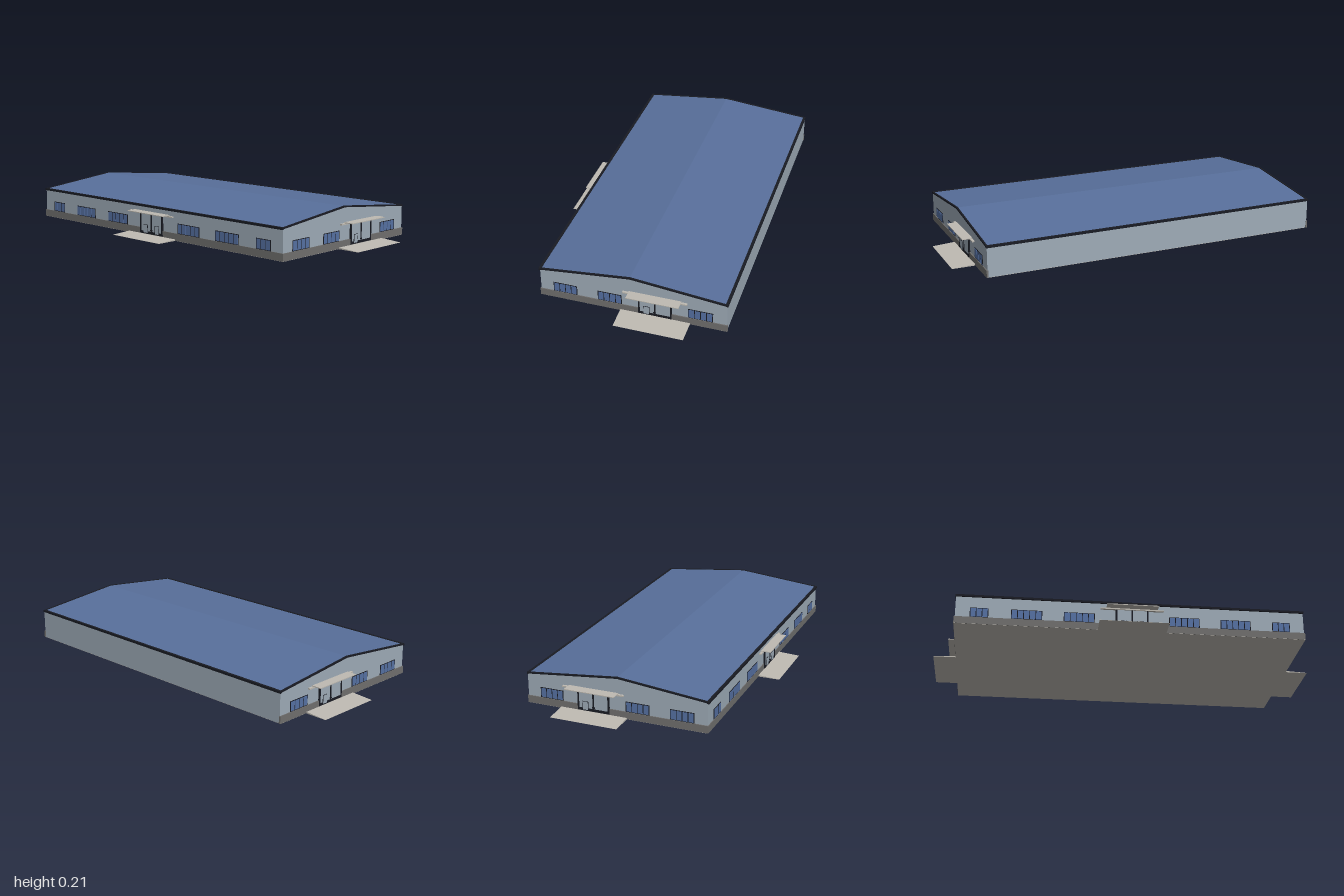
import * as THREE from 'three';

const mat = (name, color) => {
  const m = new THREE.MeshStandardMaterial({ color });
  m.name = name;
  return m;
};

export function createModel() {
  const wallGrey = mat('wall grey', 0x9eabb7);
  const plinthGrey = mat('plinth grey', 0x706f6e);
  const roofBlue = mat('roof blue', 0x586f9b);
  const glassBlue = mat('glass blue', 0x5671a3);
  const trimDark = mat('dark trim', 0x191b23);
  const concrete = mat('concrete', 0xbebab2);

  const model = new THREE.Group();
  model.name = 'hall';

  const WALL_X = 0.88, FRONT = 0.41, BACK = -0.522, RIDGE = -0.045;

  const add = (parent, name, geometry, material) => {
    const mesh = new THREE.Mesh(geometry, material);
    mesh.name = name;
    parent.add(mesh);
    return mesh;
  };

  // box given by its lower and upper limits on each axis
  const box = (parent, name, material, [x0, x1], [y0, y1], [z0, z1]) => {
    const g = new THREE.BoxGeometry(x1 - x0, y1 - y0, z1 - z0);
    g.translate((x0 + x1) / 2, (y0 + y1) / 2, (z0 + z1) / 2);
    return add(parent, name, g, material);
  };

  // (z, y) cross-section extruded along x
  const prism = (parent, name, material, points, halfX) => {
    const shape = new THREE.Shape(points.map(([z, y]) => new THREE.Vector2(z, y)));
    const g = new THREE.ExtrudeGeometry(shape, { depth: halfX * 2, bevelEnabled: false });
    g.translate(0, 0, -halfX);
    g.rotateY(-Math.PI / 2);
    return add(parent, name, g, material);
  };

  // Floor slab, walls with gables, and the plinth on the front and both ends
  box(model, 'floorSlab', concrete, [-0.884, 0.884], [0, 0.002], [BACK + 0.001, 0.413]);
  prism(model, 'walls', wallGrey,
    [[BACK, 0.002], [FRONT, 0.002], [FRONT, 0.153], [RIDGE, 0.2], [BACK, 0.153]], WALL_X);
  box(model, 'plinth', plinthGrey, [-0.885, 0.885], [0.001, 0.038], [BACK + 0.001, 0.414]);

  // Roof covering between raised gable trims and eave fascias
  prism(model, 'roofCovering', roofBlue,
    [[0.41, 0.152], [0.41, 0.1565], [RIDGE, 0.2045], [-0.518, 0.1565], [-0.518, 0.152], [RIDGE, 0.199]], 0.878);
  for (const s of [-1, 1]) {
    const trim = prism(model, 'gableTrim', trimDark, [
      [0.417, 0.148], [0.417, 0.158], [RIDGE, 0.207], [-0.525, 0.158], [-0.525, 0.148],
      [-0.518, 0.148], [-0.518, 0.151], [RIDGE, 0.199], [0.41, 0.151], [0.41, 0.148],
    ], 0.0045);
    trim.position.x = s * 0.8785;

    // plinth return at the rear corner
    const edges = [s * 0.876, s * 0.885].sort((a, b) => a - b);
    box(model, 'plinthReturn', plinthGrey, edges, [0.001, 0.038], [-0.525, -0.515]);
  }
  box(model, 'frontFascia', trimDark, [-0.88, 0.88], [0.148, 0.159], [0.404, 0.417]);
  box(model, 'backFascia', trimDark, [-0.88, 0.88], [0.148, 0.159], [-0.525, -0.512]);

  // Each facade is built facing +z with its wall plane at z = 0
  const facade = (name, x, z, turn) => {
    const g = new THREE.Group();
    g.name = name;
    g.position.set(x, 0, z);
    g.rotation.y = turn;
    model.add(g);
    return g;
  };
  const front = facade('frontFacade', 0, FRONT, 0);
  const left = facade('leftFacade', WALL_X, 0, Math.PI / 2);
  const right = facade('rightFacade', -WALL_X, 0, -Math.PI / 2);

  // Window: dark frame plate with a row of thin panes
  const windowRow = (parent, x0, x1, panes) => {
    const w = new THREE.Group();
    w.name = 'window';
    parent.add(w);
    const bar = 0.004;
    box(w, 'windowFrame', trimDark, [x0, x1], [0.038, 0.09], [-0.002, 0.002]);
    const step = (x1 - x0 - bar) / panes;
    for (let i = 0; i < panes; i++) {
      const a = x0 + bar + i * step;
      box(w, 'pane', glassBlue, [a, a + step - bar], [0.041, 0.087], [0, 0.003]);
    }
  };

  for (const s of [-1, 1]) {
    for (const [a, b, n] of [[0.188, 0.343, 5], [0.45, 0.605, 5], [0.716, 0.808, 3]]) {
      windowRow(front, Math.min(s * a, s * b), Math.max(s * a, s * b), n);
    }
  }
  for (const [z0, z1] of [[0.223, 0.344], [-0.003, 0.118], [-0.454, -0.332]]) {
    windowRow(left, -z1, -z0, 4);
    windowRow(right, z0, z1, 4);
  }

  // Entrance: framed double door, stepped canopy and sloping pad
  const entrance = (parent, cx, padLength, hatches) => {
    const e = new THREE.Group();
    e.name = 'entrance';
    e.position.x = cx;
    parent.add(e);
    box(e, 'doorPanels', wallGrey, [-0.08, 0.08], [0.012, 0.117], [0, 0.006]);
    box(e, 'doorSill', trimDark, [-0.08, 0.08], [0.01, 0.023], [0, 0.0075]);
    for (const x of [-0.079, 0, 0.079]) {
      box(e, 'doorPost', trimDark, [x - 0.004, x + 0.004], [0.01, 0.117], [0, 0.008]);
    }
    box(e, 'doorHandle', trimDark, [-0.007, 0.007], [0.027, 0.033], [0, 0.009]);
    for (const x of hatches) {
      box(e, 'hatchFrame', trimDark, [x - 0.015, x + 0.015], [0.013, 0.058], [0, 0.0078]);
      box(e, 'hatchPanel', wallGrey, [x - 0.013, x + 0.013], [0.015, 0.056], [0, 0.0088]);
    }
    box(e, 'canopyBeam', concrete, [-0.16, 0.16], [0.115, 0.122], [0, 0.012]);
    box(e, 'canopySlab', concrete, [-0.13, 0.13], [0.122, 0.126], [0, 0.052]);
    prism(e, 'entrancePad', concrete,
      [[0, 0], [padLength, 0], [padLength, 0.001], [0, 0.008]], 0.173);
  };
  entrance(front, 0, 0.115, [-0.042, 0.042]);
  entrance(left, 0.17, 0.12, [-0.042]);
  entrance(right, -0.17, 0.12, [-0.042]);

  return model;
}
